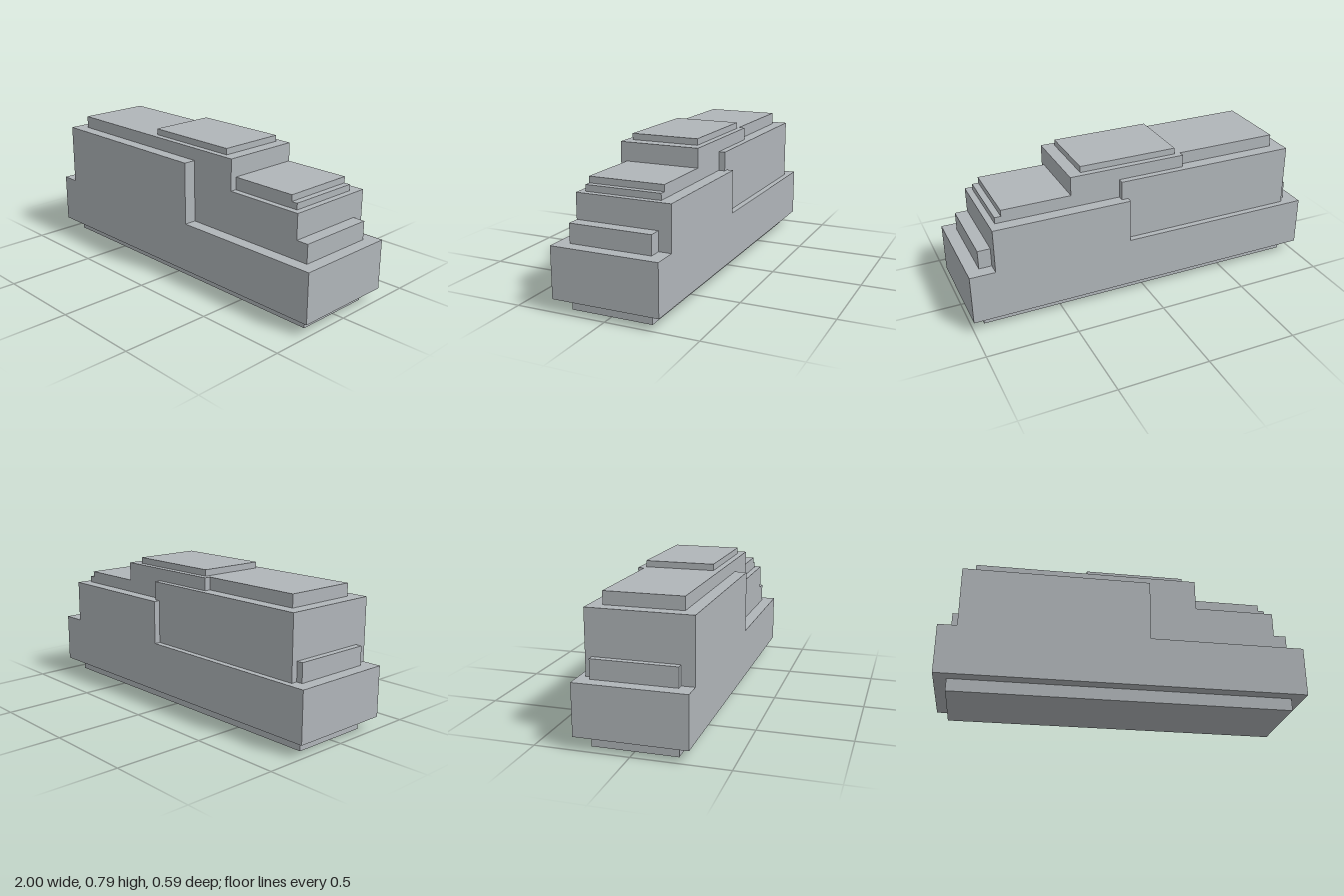
import * as THREE from 'three';

// All parts sit on a grid of 58 cells along the longest side.
const U = 2 / 58;

export function createModel() {
  const model = new THREE.Group();
  model.name = 'steppedHull';

  const grey = new THREE.MeshStandardMaterial({ color: 0xb0b5b9 });
  grey.name = 'light grey';

  // Box given by its limits in grid cells.
  const block = (name, x0, x1, y0, y1, z0, z1) => {
    const geometry = new THREE.BoxGeometry((x1 - x0) * U, (y1 - y0) * U, (z1 - z0) * U);
    const mesh = new THREE.Mesh(geometry, grey);
    mesh.name = name;
    mesh.position.set((x0 + x1) / 2 * U, (y0 + y1) / 2 * U, (z0 + z1) / 2 * U);
    model.add(mesh);
  };

  // Recessed foot and wide lower body
  block('foot', -27, 27, 0, 2, -6.5, 6.5);
  block('lowerBody', -29, 29, 2, 10, -8.5, 8.5);

  // Tall main housing with its end step
  block('mainHousing', -26, 4, 10, 20, -7.5, 8.5);
  block('rearStep', -27, -26, 10, 13, -6.5, 6.5);

  // Lower nose housing; its back strip runs slightly behind the main housing
  block('noseHousing', 4, 25, 10, 17, -8.5, 6.5);
  block('noseBackStrip', 3, 4, 10, 17, -8.5, -7.5);
  block('noseStep', 25, 27, 10, 13, -6.5, 6.5);

  // Raised roof, wider over the middle
  block('middleTower', 4, 12, 17, 22, -6.5, 6.5);
  block('middleRoof', -7, 4, 20, 22, -6.5, 6.5);
  block('rearRoof', -24, -7, 20, 22, -5.5, 6.5);
  block('roofCap', -6, 10, 22, 23, -5.5, 5.5);

  // Two thin steps on top of the nose
  block('noseLowerPlate', 12, 24, 17, 18, -6.5, 5.5);
  block('noseUpperPlate', 12, 23, 18, 19, -6.5, 5.5);

  return model;
}
